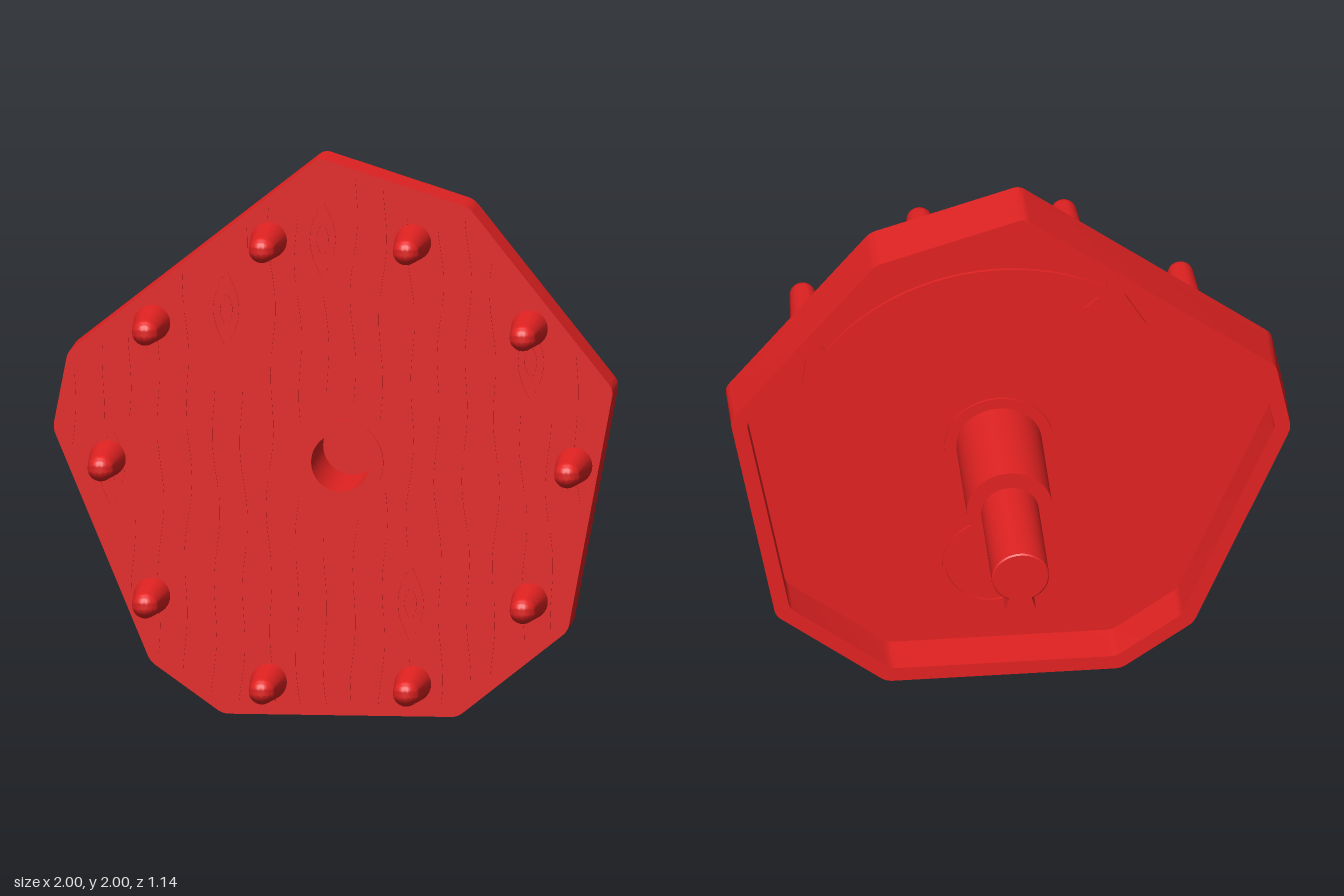
import * as THREE from 'three';
import { toCreasedNormals } from 'three/addons/utils/BufferGeometryUtils.js';

const V = (x, y) => new THREE.Vector2(x, y);
const CX = 0.027, CY = 0.911; // hub axis

// plate corners, counter-clockwise
const outline = [[-0.05, 2.005], [-0.95, 1.295], [-1.003, 1.02], [-0.655, 0.185], [-0.395, 0],
  [0.445, 0], [0.84, 0.315], [1.003, 1.185], [0.485, 1.835]].map(p => V(...p));

// inward normal of each edge
const normals = outline.map((p, i) => {
  const d = outline[(i + 1) % outline.length].clone().sub(p).normalize();
  return V(-d.y, d.x);
});
const inset = d => outline.map((p, i) => {
  const a = normals[(i + outline.length - 1) % outline.length], b = normals[i];
  return p.clone().addScaledVector(a.clone().add(b), d / (1 + a.dot(b)));
});
const isInside = (p, margin) => outline.every((a, i) => p.clone().sub(a).dot(normals[i]) > margin);

// polygon with softly rounded corners
function rounded(points, r, shape) {
  points.forEach((p, i) => {
    const prev = points[(i + points.length - 1) % points.length], next = points[(i + 1) % points.length];
    const a = p.clone().add(prev.clone().sub(p).setLength(r));
    const b = p.clone().add(next.clone().sub(p).setLength(r));
    if (i === 0) shape.moveTo(a.x, a.y); else shape.lineTo(a.x, a.y);
    shape.quadraticCurveTo(p.x, p.y, b.x, b.y);
  });
  shape.closePath();
  return shape;
}
const circle = (x, y, r, Type = THREE.Path) => new Type().absarc(x, y, r, 0, Math.PI * 2);
function ring(x, y, outer, inner) {
  const shape = circle(x, y, outer, THREE.Shape);
  shape.holes.push(circle(x, y, inner));
  return shape;
}

function extrude(shape, z0, z1, curveSegments = 24) {
  const g = new THREE.ExtrudeGeometry(shape, { depth: z1 - z0, bevelEnabled: false, curveSegments });
  return toCreasedNormals(g.translate(0, 0, z0), 0.6);
}
function lathe(profile, segments) {
  const g = new THREE.LatheGeometry(profile.map(p => V(...p)), segments).rotateX(Math.PI / 2);
  return toCreasedNormals(g, 0.6);
}

// narrow closed groove along a centre line
function groove(line, w = 0.003) {
  return new THREE.Path([...line.map(p => V(p.x - w, p.y)), ...line.map(p => V(p.x + w, p.y)).reverse()]);
}

// wood grain: broken wavy lines, eye-shaped knots and one straight plank seam
function grainGrooves() {
  const grooves = [];
  const knots = [[-0.38, 1.455], [-0.035, 1.71], [-0.79, 0.88], [0.28, 0.405], [0.71, 1.28]];
  let seed = 7;
  const rand = () => (seed = (seed * 16807) % 2147483647) / 2147483647;
  const isClear = p => isInside(p, 0.03) && Math.hypot(p.x - CX, p.y - CY) > 0.19 &&
    knots.every(k => Math.abs(p.x - k[0]) > 0.085 || Math.abs(p.y - k[1]) > 0.17);
  for (let i = 0; i < 19; i++) {
    const phase = rand() * 6;
    let run = [], limit = 6 + rand() * 12;
    for (let y = 0.04; y < 1.98; y += 0.035) {
      const p = V(-0.92 + i * 0.1 + 0.018 * Math.sin(y * 9 + phase) * Math.cos(y * 4), y);
      const clear = isClear(p);
      if (clear) run.push(p);
      if (!clear || run.length > limit) {
        if (run.length > 2) grooves.push(groove(run));
        run = [];
        limit = 6 + rand() * 12;
      }
    }
    if (run.length > 2) grooves.push(groove(run));
  }
  for (const [x, y] of knots) {
    for (const [side, size] of [[-1, 1], [1, 1], [-1, 0.4], [1, 0.4]]) {
      const line = [];
      for (let t = -1; t <= 1.01; t += 0.2)
        line.push(V(x + side * (0.006 + 0.04 * size * Math.cos(t * Math.PI / 2)), y + 0.13 * size * t));
      grooves.push(groove(line));
    }
  }
  grooves.push(groove([V(0.43, 0.03), V(0.43, 1.82)]));
  return grooves;
}

// curved arrow with a barbed point at each end
function arrowShape() {
  const pt = (r, deg) => V(CX + r * Math.cos(deg * Math.PI / 180), CY + r * Math.sin(deg * Math.PI / 180));
  const pts = [pt(0.77, 24), pt(0.85, 37)];
  for (let a = 36; a <= 120; a += 4) pts.push(pt(0.765, a));
  pts.push(pt(0.83, 118), pt(0.72, 137), pt(0.65, 118));
  for (let a = 120; a >= 36; a -= 4) pts.push(pt(0.715, a));
  pts.push(pt(0.64, 36));
  return new THREE.Shape(pts);
}

export function createModel() {
  const model = new THREE.Group();
  const red = new THREE.MeshStandardMaterial({ color: 0xe32222 });
  const add = (name, geometry, x = 0, y = 0, z = 0) => {
    const mesh = new THREE.Mesh(geometry, red);
    mesh.name = name;
    mesh.position.set(x, y, z);
    model.add(mesh);
  };
  const plate = () => rounded(outline, 0.025, new THREE.Shape());

  // irregular plate: raised rim behind, thin web, grooved front skin
  const rim = plate();
  rim.holes.push(rounded(inset(0.055), 0.02, new THREE.Path()));
  add('rim', extrude(rim, 0.09, 0.25, 6));

  const web = plate();
  web.holes.push(circle(CX, CY, 0.14));
  add('web', extrude(web, 0.25, 0.286));

  const skin = plate();
  skin.holes.push(circle(CX, CY, 0.14), ...grainGrooves());
  add('woodFace', extrude(skin, 0.286, 0.292));

  // hub with a blind socket, and a low collar on the recessed floor
  add('hub', lathe([[0, -0.152], [0.153, -0.152], [0.153, 0.302], [0.105, 0.302], [0.105, -0.12], [0, -0.12]], 48), CX, CY);
  add('hubCollar', extrude(ring(CX, CY, 0.195, 0.15), 0.242, 0.25));

  // rear shaft, joined to the hub only by the key underneath
  add('shaft', lathe([[0, -0.572], [0.098, -0.572], [0.103, -0.567], [0.103, -0.17], [0.098, -0.165], [0, -0.165]], 40), CX, CY);
  const key = new THREE.Shape();
  const half = Math.asin(0.055 / 0.15);
  key.moveTo(CX + 0.04, CY - 0.09);
  key.lineTo(CX - 0.04, CY - 0.09);
  key.absarc(CX, CY, 0.15, -Math.PI / 2 - half, -Math.PI / 2 + half, false);
  key.closePath();
  add('shaftKey', extrude(key, -0.572, -0.15, 8));

  // ring of ten tapered pegs with domed tips
  const profile = [[0.066, 0.285], [0.047, 0.526]];
  for (let i = 1; i <= 8; i++) {
    const a = i / 8 * Math.PI / 2;
    profile.push([0.047 * Math.cos(a), 0.526 + 0.047 * Math.sin(a)]);
  }
  const peg = lathe(profile, 32);
  for (let i = 0; i < 10; i++) {
    const a = i * Math.PI / 5;
    add('peg', peg, CX + 0.835 * Math.cos(a), CY + 0.835 * Math.sin(a));
  }

  // low reliefs on the recessed floor
  add('turnArrow', extrude(arrowShape(), 0.24, 0.25));
  add('floorRing', extrude(ring(0.05, 0.39, 0.18, 0.168), 0.242, 0.25));
  return model;
}
